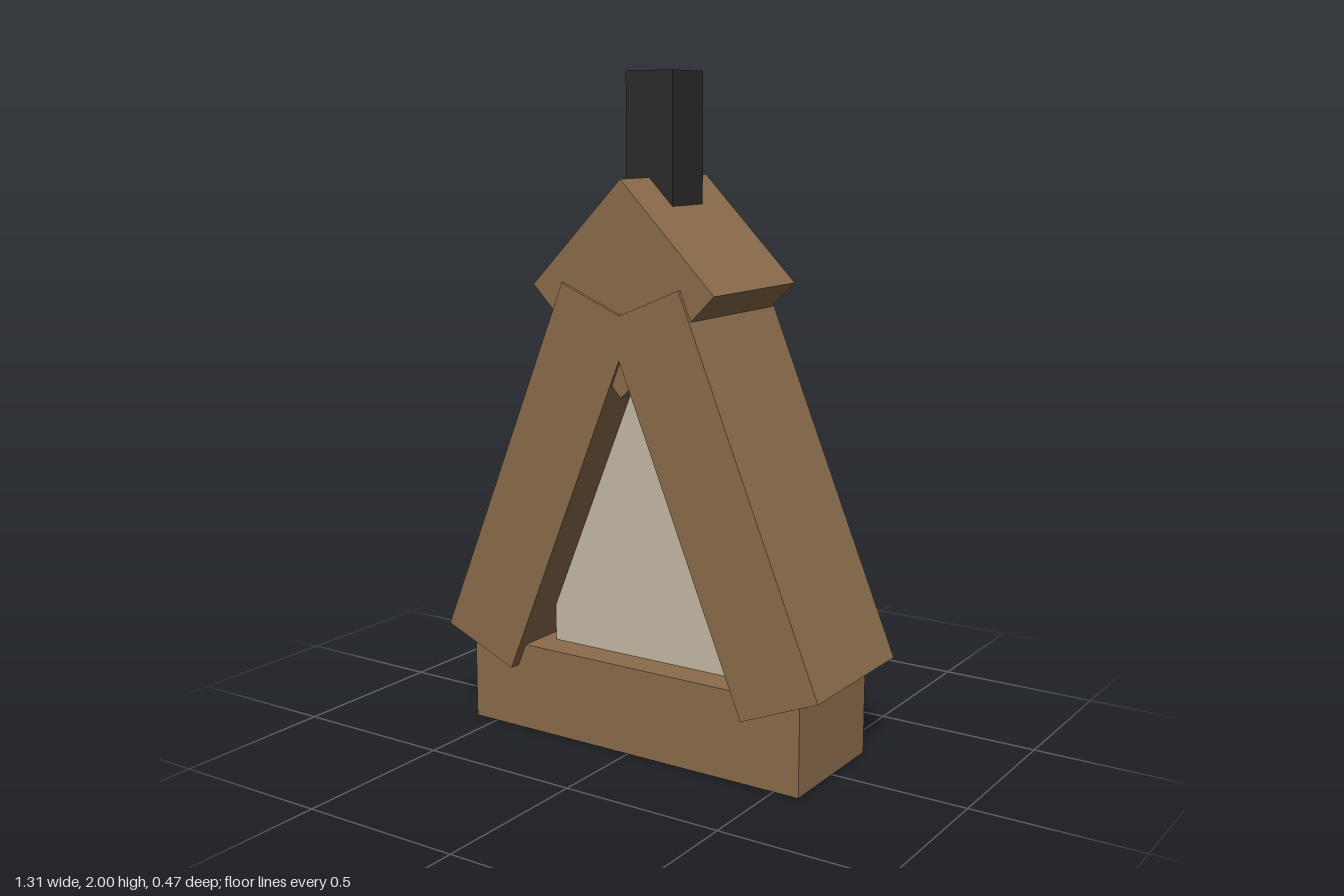
import * as THREE from 'three';

export function createModel() {
  const wood = new THREE.MeshStandardMaterial({ color: 0x8c6d4c });
  wood.name = 'brown wood';
  const cream = new THREE.MeshStandardMaterial({ color: 0xc8bca8 });
  cream.name = 'cream panel';
  const iron = new THREE.MeshStandardMaterial({ color: 0x2c2c2c });
  iron.name = 'dark iron';

  const model = new THREE.Group();
  model.name = 'aFrameHut';

  function add(name, geometry, material, x, y, z, tilt = 0) {
    const mesh = new THREE.Mesh(geometry, material);
    mesh.name = name;
    mesh.position.set(x, y, z);
    mesh.rotation.z = tilt;
    model.add(mesh);
  }
  const box = (w, h, d) => new THREE.BoxGeometry(w, h, d);

  // Plinth
  add('base', box(1.16, 0.27, 0.4), wood, 0, 0.135, 0);

  // Leaning beams, mirrored left and right
  for (const side of [1, -1]) {
    add(side > 0 ? 'leftBeam' : 'rightBeam', box(0.265, 1.19, 0.47), wood,
      side * 0.305, 0.8, 0, side * Math.PI / 8);
  }

  // Ridge block: a square beam standing on its corner
  add('roofCap', box(0.438, 0.438, 0.45), wood, 0, 1.39, 0, Math.PI / 4);

  // Chimney
  add('chimney', box(0.16, 0.5, 0.16), iron, 0, 1.75, 0);

  // Inner wall between the beams, tapered so its top stays inside them
  function wall(bottom, depth) {
    const shape = new THREE.Shape([
      [-0.335, bottom], [0.335, bottom], [0.335, 0.8], [0.12, 1.3], [-0.12, 1.3], [-0.335, 0.8],
    ].map(([x, y]) => new THREE.Vector2(x, y)));
    return new THREE.ExtrudeGeometry(shape, { depth, bevelEnabled: false });
  }
  add('innerWall', wall(0.21, 0.305), wood, 0, 0, -0.208);
  add('frontPanel', wall(0.26, 0.008), cream, 0, 0, 0.097);

  return model;
}
